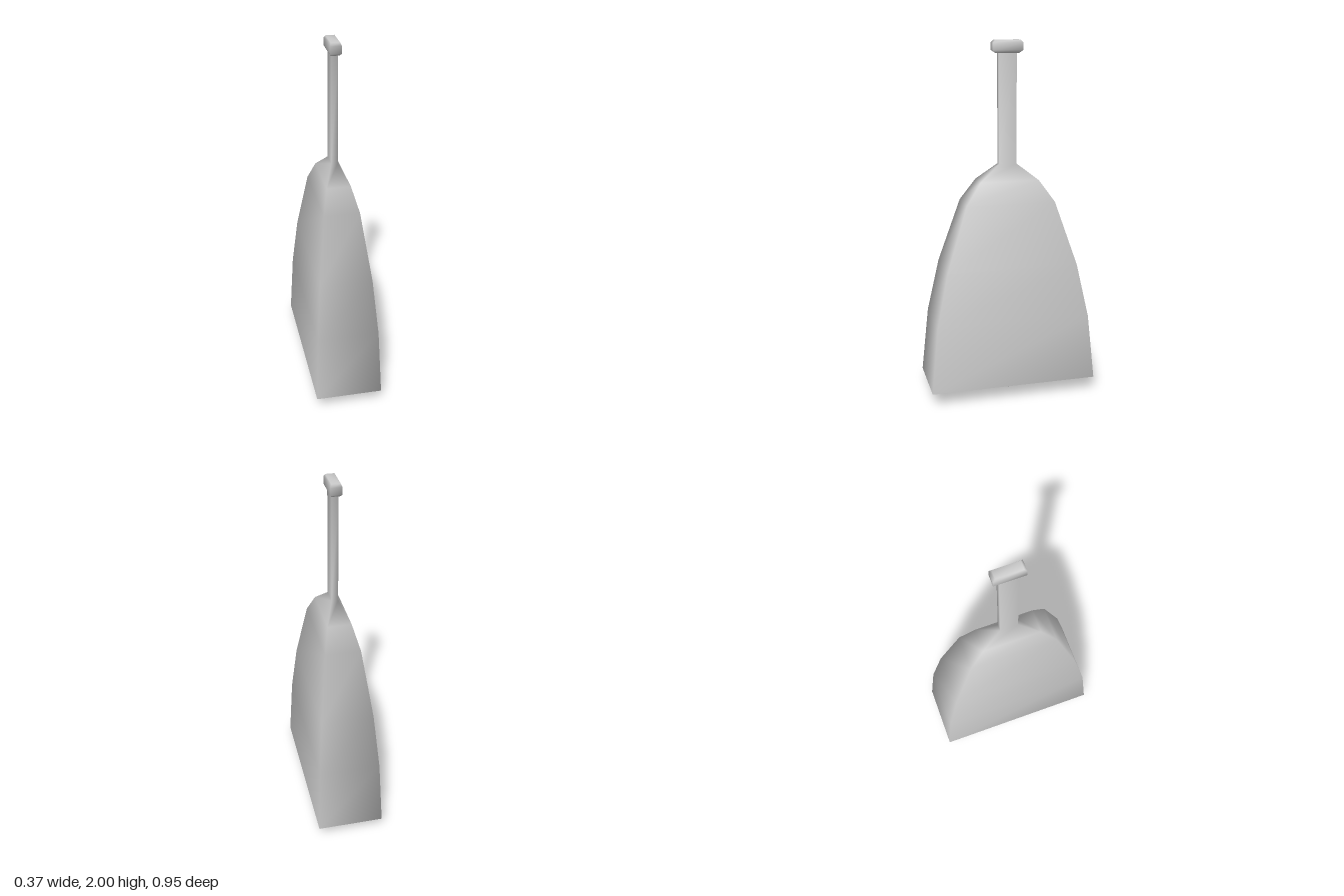
import * as THREE from 'three';

const material = new THREE.MeshStandardMaterial({ color: 0xcccccc });

// Skin a stack of rectangular rings [halfX, halfZ, y], smooth normals, both ends capped
function loftRectangles(rings) {
  const corners = [[1, 1], [1, -1], [-1, -1], [-1, 1]];
  const positions = [];
  const index = [];
  for (const [hx, hz, y] of rings) {
    for (const [sx, sz] of corners) positions.push(sx * hx, y, sz * hz);
  }
  for (let i = 0; i < rings.length - 1; i++) {
    for (let j = 0; j < 4; j++) {
      const a = i * 4 + j;
      const b = i * 4 + (j + 1) % 4;
      index.push(a, b, b + 4, a, b + 4, a + 4);
    }
  }
  const t = (rings.length - 1) * 4;
  index.push(0, 2, 1, 0, 3, 2, t, t + 1, t + 2, t, t + 2, t + 3);
  const geometry = new THREE.BufferGeometry();
  geometry.setAttribute('position', new THREE.Float32BufferAttribute(positions, 3));
  geometry.setIndex(index);
  geometry.computeVertexNormals();
  return geometry;
}

export function createModel() {
  const group = new THREE.Group();
  const add = (name, geometry, y = 0) => {
    const mesh = new THREE.Mesh(geometry, material);
    mesh.name = name;
    mesh.position.y = y;
    group.add(mesh);
  };

  // Flared bell: outer wall from the rim up, inner wall offset inwards
  const outer = [
    [0.185, 0.473, 0.08],
    [0.17, 0.435, 0.455],
    [0.145, 0.37, 0.76],
    [0.098, 0.25, 1.12],
    [0.066, 0.165, 1.24],
    [0.018, 0.05, 1.33],
  ];
  const wall = 0.016;
  const inner = outer.slice(0, 5).map(([x, z, y], i) => [x - wall, z - wall, i ? y - 0.01 : y]);

  // Bell and handle form one continuous skin
  add('bellAndHandle', loftRectangles([...inner.reverse(), ...outer, [0.018, 0.05, 1.935]]));

  // Bevelled knob on the handle
  add('handleKnob', loftRectangles([
    [0.022, 0.062, 1.93],
    [0.031, 0.083, 1.945],
    [0.031, 0.083, 1.985],
    [0.024, 0.07, 2.0],
  ]));

  // Clapper ball hanging on a thin rod
  add('clapper', new THREE.SphereGeometry(0.1, 32, 20), 0.1);
  add('clapperRod', new THREE.CylinderGeometry(0.008, 0.008, 1.05, 8), 0.71);

  return group;
}
